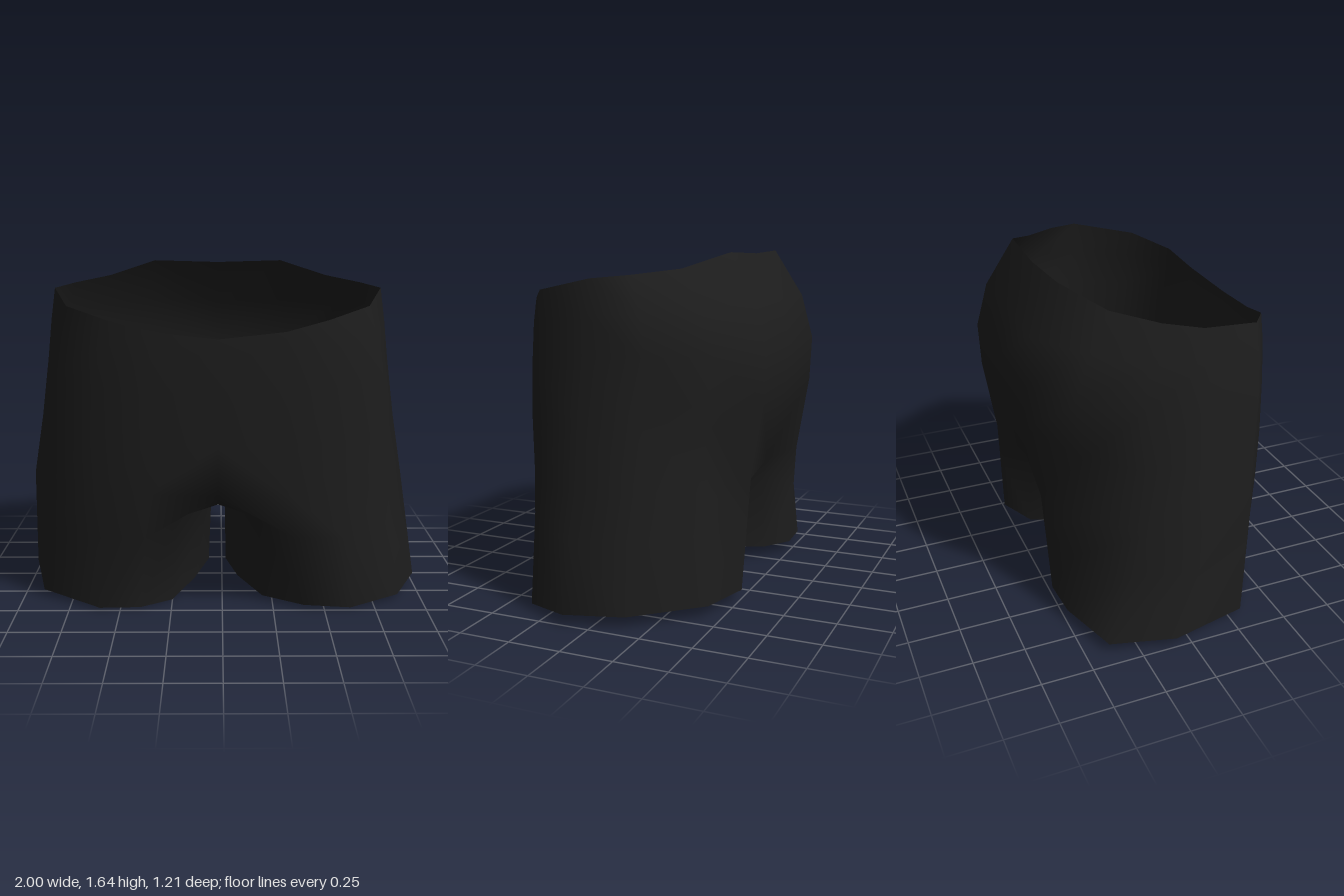
import * as THREE from 'three';
import { mergeVertices } from 'three/addons/utils/BufferGeometryUtils.js';

// Half sections run from the front centre, round the hip, to the back centre.
const waist = [[0, 1.35, .6], [.31, 1.38, .57], [.51, 1.43, .53], [.71, 1.48, .39], [.81, 1.54, .08],
  [.73, 1.555, -.08], [.57, 1.58, -.26], [.34, 1.65, -.41], [0, 1.64, -.42]];
const yoke = [[0, 1.27, .605], [.31, 1.29, .575], [.54, 1.31, .53], [.75, 1.34, .39], [.83, 1.38, .1],
  [.78, 1.39, -.15], [.62, 1.41, -.37], [.37, 1.42, -.55], [0, 1.42, -.545]];
const hip = [[0, 1.1, .605], [.32, 1.1, .575], [.57, 1.12, .525], [.79, 1.15, .38], [.85, 1.2, .1],
  [.82, 1.2, -.19], [.65, 1.2, -.45], [.39, 1.2, -.605], [0, 1.2, -.6]];
const seat = [[0, .85, .6], [.34, .85, .565], [.59, .85, .52], [.81, .87, .36], [.89, .9, .1],
  [.84, .9, -.17], [.64, .92, -.4], [.39, .98, -.595], [0, .96, -.575]];
const crotch = [[0, .61, .59], [.33, .61, .555], [.59, .6, .515], [.83, .6, .35], [.94, .6, .1],
  [.87, .6, -.19], [.64, .6, -.42], [.38, .6, -.535], [0, .61, -.49]];
// The crotch seam closes each half section into a leg ring, back to front.
const seam = [[0, .5, -.28], [0, .475, 0], [0, .49, .32]];
// Inner thigh: front fold, then back fold and the inside of the leg
const frontFold = [.2, .45, .41];
const innerThigh = [[.24, .45, -.39], [.06, .44, -.2], [.035, .455, 0], [.06, .44, .2]];
const leftHem = [[.2, .03, .37], [.4, .02, .47], [.63, .015, .49], [.88, .03, .36], [1, .055, .13],
  [.93, .06, -.15], [.66, .06, -.44], [.4, .06, -.51], [.2, .06, -.42],
  [.07, .08, -.2], [.02, .09, 0], [.08, .07, .2]];
const rightHem = [[-.25, .005, .36], [-.4, .01, .47], [-.6, .015, .49], [-.9, .04, .31], [-1, .055, -.08],
  [-.92, .055, -.39], [-.62, .06, -.49], [-.42, .06, -.5], [-.27, .06, -.4],
  [-.12, .08, -.2], [-.07, .09, 0], [-.14, .06, .2]];

// Quads between neighbouring rings, from top to bottom.
function skin(out, rings, closed, flip) {
  for (let r = 0; r + 1 < rings.length; r++) {
    const up = rings[r], low = rings[r + 1], n = up.length;
    for (let i = 0; i < (closed ? n : n - 1); i++) {
      const j = (i + 1) % n;
      const tris = [[up[i], low[i], low[j]], [up[i], low[j], up[j]]];
      for (const t of tris) out.push(...(flip ? t.reverse() : t).flat());
    }
  }
}

function toMesh(positions, material, name) {
  let geometry = new THREE.BufferGeometry();
  geometry.setAttribute('position', new THREE.Float32BufferAttribute(positions, 3));
  geometry = mergeVertices(geometry, 1e-4);
  geometry.computeVertexNormals();
  const mesh = new THREE.Mesh(geometry, material);
  mesh.name = name;
  return mesh;
}

export function createModel() {
  const group = new THREE.Group();
  group.name = 'shorts';
  const cloth = new THREE.MeshStandardMaterial({ color: 0x1d1d1d, side: THREE.DoubleSide });
  cloth.name = 'black cloth';

  const body = [];
  for (const side of [1, -1]) {
    const place = ring => ring.map(([x, y, z]) => [side * x - .02, y, z]);
    const flip = side < 0;
    const hem = flip ? rightHem : leftHem;

    // Waist to crotch
    skin(body, [waist, yoke, hip, seat, crotch].map(place), false, flip);

    // Leg: the outer thigh runs straight from the crotch section to the hem
    const legTop = place([...crotch, ...seam]);
    const outerThigh = legTop.slice(1, 8).map((p, i) => p.map((v, k) => v + (hem[i + 1][k] - v) * .38));
    const thigh = [...place([frontFold]), ...outerThigh, ...place(innerThigh)];
    skin(body, [legTop, thigh, hem], true, flip);

    // Turned-in hem: a lip narrowing towards the middle of the leg
    const lip = [];
    const cx = flip ? -.5 : .46;
    const inner = hem.map(([x, y, z], i) => {
      const k = i > 8 ? .96 : .81;
      return [cx + (x - cx) * k, y + .035, z * k];
    });
    skin(lip, [hem, inner], true, flip);
    group.add(toMesh(lip, cloth, flip ? 'rightHem' : 'leftHem'));
  }
  group.add(toMesh(body, cloth, 'waistAndLegs'));
  return group;
}
